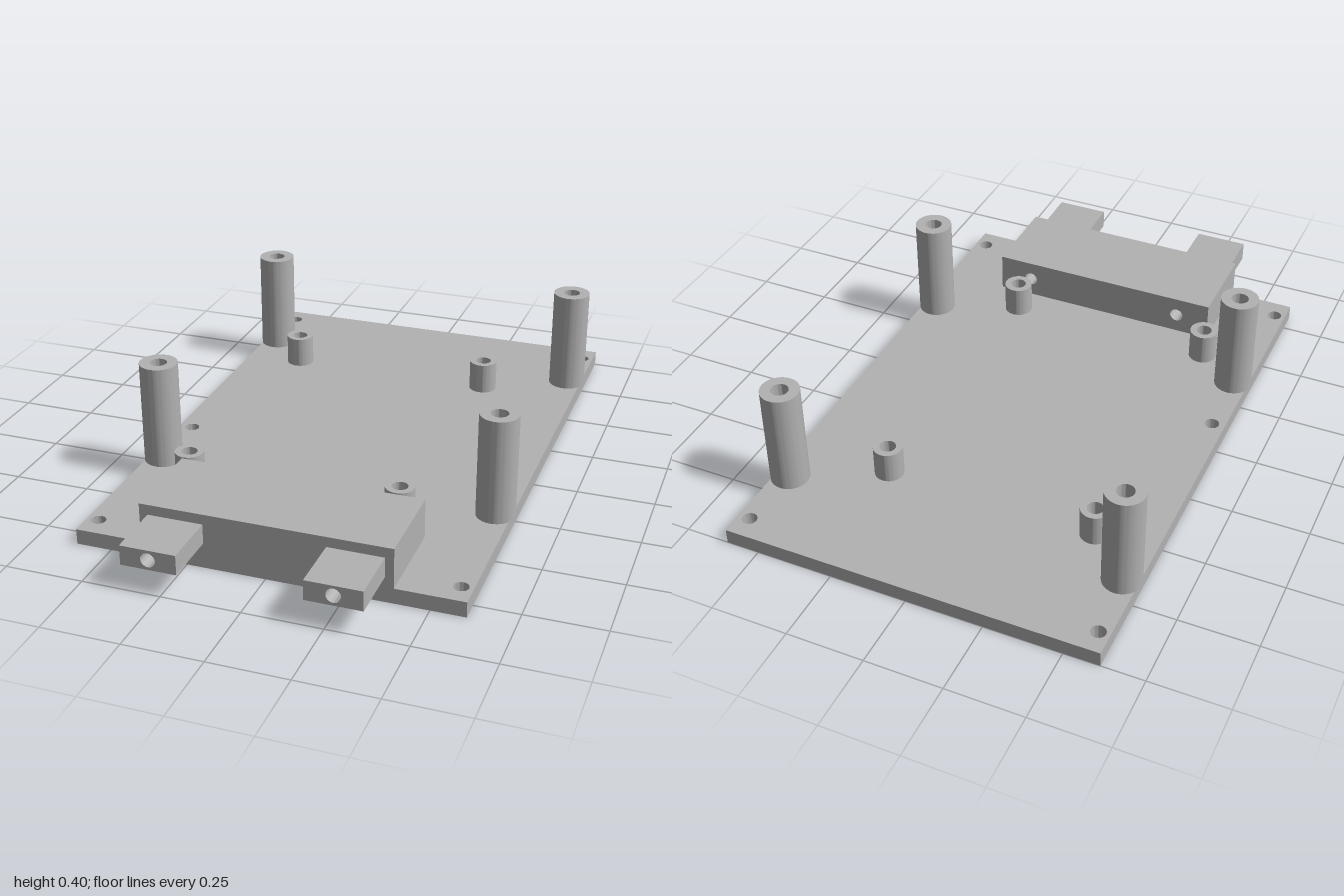
import * as THREE from 'three';
import { toCreasedNormals } from 'three/addons/utils/BufferGeometryUtils.js';

const grey = new THREE.MeshStandardMaterial({ color: 0xb2b2b2 });
grey.name = 'grey';

// Rectangle outline with round holes, each given as [x, y, radius]
function rectShape(x0, x1, y0, y1, holes) {
  const s = new THREE.Shape([[x0, y0], [x1, y0], [x1, y1], [x0, y1]].map(p => new THREE.Vector2(...p)));
  for (const [x, y, r] of holes) s.holes.push(new THREE.Path().absarc(x, y, r, 0, Math.PI * 2, true));
  return s;
}

// Extrude along +z, with smooth bores and sharp edges
function extrude(shape, depth) {
  const g = new THREE.ExtrudeGeometry(shape, { depth, bevelEnabled: false, curveSegments: 32 });
  return toCreasedNormals(g, 0.6);
}

export function createModel() {
  const group = new THREE.Group();
  const add = (name, geometry) => {
    const mesh = new THREE.Mesh(geometry, grey);
    mesh.name = name;
    group.add(mesh);
  };

  // Base plate with five screw holes; shape y becomes -z
  const screwHoles = [[-0.577, -0.927], [0.57, -0.927], [-0.57, 0.073], [-0.577, 0.742], [0.57, 0.742]];
  const plate = rectShape(-0.614, 0.608, -0.815, 1, screwHoles.map(([x, z]) => [x, -z, 0.024]));
  add('basePlate', extrude(plate, 0.05).rotateX(-Math.PI / 2));

  // Hollow upright standing on the plate
  const upright = (name, x, z, outer, inner, height) => {
    const ring = new THREE.Shape().absarc(0, 0, outer, 0, Math.PI * 2, false);
    ring.holes.push(new THREE.Path().absarc(0, 0, inner, 0, Math.PI * 2, true));
    add(name, extrude(ring, height).rotateX(-Math.PI / 2).translate(x, 0.05, z));
  };
  for (const x of [-0.562, 0.558]) for (const z of [-0.708, 0.311]) upright('tallPost', x, z, 0.062, 0.028, 0.345);
  for (const x of [-0.417, 0.283]) for (const z of [-0.563, 0.417]) upright('shortStandoff', x, z, 0.047, 0.026, 0.104);

  // Front block and its two tabs, with bores running right through
  const bores = [-0.282, 0.278];
  const block = rectShape(-0.397, 0.393, 0.05, 0.18, bores.map(x => [x, 0.115, 0.023]));
  add('frontBlock', extrude(block, 0.3).translate(0, 0, 0.515));
  for (const x of bores) {
    const tab = rectShape(x - 0.088, x + 0.088, 0.083, 0.147, [[x, 0.115, 0.023]]);
    add('frontTab', extrude(tab, 0.185).translate(0, 0, 0.815));
  }
  return group;
}
